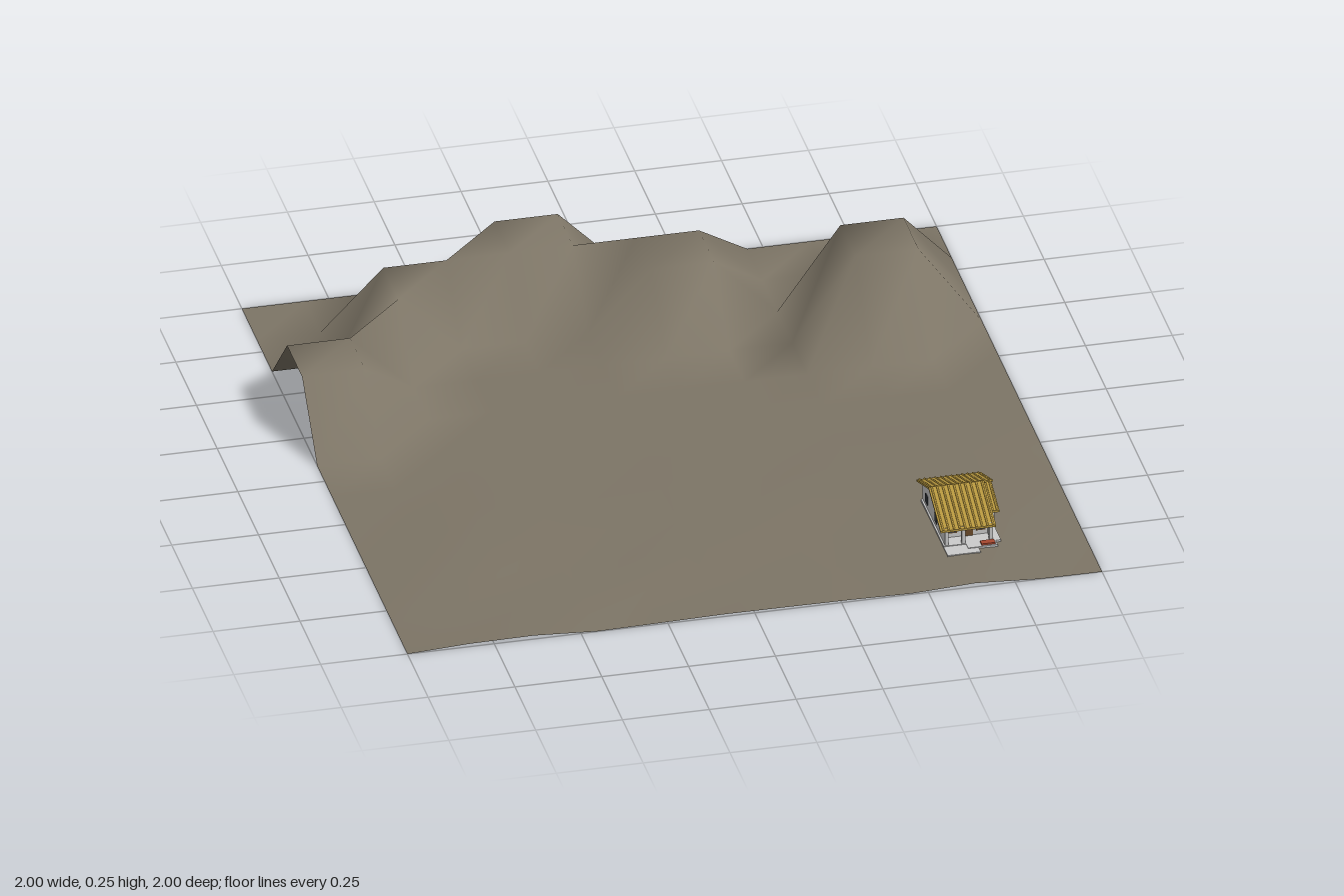
import * as THREE from 'three';

const mat = (color) => new THREE.MeshStandardMaterial({ color, side: THREE.DoubleSide });
const soil = mat(0x7d7566), plaster = mat(0xcccccc), tile = mat(0xb8983f),
  wood = mat(0x6b4a2a), glass = mat(0x3a3f45), clay = mat(0xa8482f);

// One digit per grid corner, rows from back to front: 0 flat, 1 ridge, 2 peak
const HILLS = [
  '000011000000',
  '001111110000',
  '001000110220',
  '110000000220',
  '110000000000',
];
const LEVEL = [0, 0.185, 0.255];

function makeTerrain() {
  const n = 11;
  const geo = new THREE.PlaneGeometry(2, 2, n, n).rotateX(-Math.PI / 2);
  const p = geo.attributes.position;
  let seed = 7;
  const rand = () => (seed = (seed * 16807) % 2147483647) / 2147483647;
  for (let i = 0; i < p.count; i++) {
    const col = i % (n + 1), row = Math.floor(i / (n + 1));
    const bump = row >= 7 && col > 0 && col < n ? rand() * 0.013 : 0;
    p.setY(i, row < HILLS.length ? LEVEL[+HILLS[row][col]] : bump);
  }
  geo.computeVertexNormals();
  const mesh = new THREE.Mesh(geo, soil);
  mesh.name = 'terrain';
  return mesh;
}

// Box given by its limits
function box(name, material, x0, x1, y0, y1, z0, z1) {
  const m = new THREE.Mesh(new THREE.BoxGeometry(x1 - x0, y1 - y0, z1 - z0), material);
  m.position.set((x0 + x1) / 2, (y0 + y1) / 2, (z0 + z1) / 2);
  m.name = name;
  return m;
}

// Side outline of [z, y] points, extruded from x0 to x1
function sideProfile(name, material, points, x0, x1) {
  const shape = new THREE.Shape(points.map(([z, y]) => new THREE.Vector2(-z, y)));
  const geo = new THREE.ExtrudeGeometry(shape, { depth: x1 - x0, bevelEnabled: false });
  geo.rotateY(Math.PI / 2).translate(x0, 0, 0);
  const m = new THREE.Mesh(geo, material);
  m.name = name;
  return m;
}

// Sloping roof sheet with rows of tile ribs
function roofSlope(name, x0, x1, [za, ya], [zb, yb]) {
  const g = new THREE.Group();
  g.name = name;
  const t = 0.006;
  g.add(sideProfile('roofSheet', tile, [[za, ya], [zb, yb], [zb, yb - t], [za, ya - t]], x0, x1));
  const length = Math.hypot(zb - za, yb - ya);
  const count = Math.max(2, Math.round((x1 - x0) / 0.016));
  for (let i = 0; i < count; i++) {
    const rib = new THREE.Mesh(new THREE.CylinderGeometry(0.003, 0.003, length, 6), tile);
    rib.position.set(x0 + ((i + 0.5) * (x1 - x0)) / count, (ya + yb) / 2, (za + zb) / 2);
    rib.rotation.x = Math.atan2(zb - za, yb - ya);
    rib.name = 'tileRib';
    g.add(rib);
  }
  return g;
}

function makeHouse() {
  const g = new THREE.Group();
  g.name = 'house';

  // Floor, terrace and step
  g.add(box('floor', plaster, 0.595, 0.76, 0, 0.016, 0.51, 0.785));
  g.add(box('terrace', plaster, 0.595, 0.69, 0, 0.014, 0.785, 0.835));
  g.add(box('entranceSlab', plaster, 0.66, 0.745, 0, 0.016, 0.785, 0.81));
  g.add(box('step', clay, 0.7, 0.74, 0.014, 0.021, 0.785, 0.805));

  // Gabled body and the lower wing on the left
  g.add(sideProfile('mainWalls', plaster,
    [[0.51, 0], [0.74, 0], [0.74, 0.08], [0.645, 0.121], [0.51, 0.07]], 0.6, 0.738));
  g.add(sideProfile('sideWing', plaster,
    [[0.51, 0], [0.705, 0], [0.705, 0.083], [0.645, 0.108], [0.51, 0.07]], 0.738, 0.76));

  // Roof
  const ridge = [0.645, 0.13];
  g.add(roofSlope('backRoof', 0.585, 0.77, ridge, [0.5, 0.074]));
  g.add(roofSlope('frontRoof', 0.585, 0.745, ridge, [0.79, 0.068]));
  g.add(roofSlope('wingRoof', 0.745, 0.77, [0.62, 0.119], [0.725, 0.076]));

  // Porch posts, end walls and beam
  for (const x of [0.6, 0.648, 0.728])
    g.add(box('porchPost', plaster, x, x + 0.01, 0, 0.072, 0.772, 0.782));
  for (const x of [0.6, 0.732])
    g.add(sideProfile('porchEndWall', plaster,
      [[0.74, 0], [0.782, 0], [0.782, 0.064], [0.74, 0.082]], x, x + 0.006));
  g.add(box('porchBeam', plaster, 0.6, 0.738, 0.058, 0.066, 0.772, 0.782));

  // Front door and windows
  g.add(box('frontDoor', wood, 0.664, 0.69, 0.016, 0.06, 0.738, 0.743));
  for (const x of [0.617, 0.699]) {
    g.add(box('windowFrame', wood, x, x + 0.026, 0.03, 0.057, 0.738, 0.743));
    g.add(box('windowPane', glass, x + 0.003, x + 0.023, 0.033, 0.054, 0.742, 0.745));
  }

  // Openings on both ends and at the back
  g.add(box('sideDoor', wood, 0.758, 0.763, 0.018, 0.06, 0.585, 0.605));
  g.add(box('sideDoorPane', glass, 0.762, 0.764, 0.036, 0.057, 0.588, 0.602));
  for (const z of [0.55, 0.66])
    g.add(box('endWindow', glass, 0.598, 0.602, 0.03, 0.057, z, z + 0.024));
  for (const x of [0.625, 0.705])
    g.add(box('backWindow', glass, x, x + 0.026, 0.03, 0.055, 0.508, 0.512));
  return g;
}

export function createModel() {
  const model = new THREE.Group();
  model.name = 'landscape';
  model.add(makeTerrain(), makeHouse());
  return model;
}
